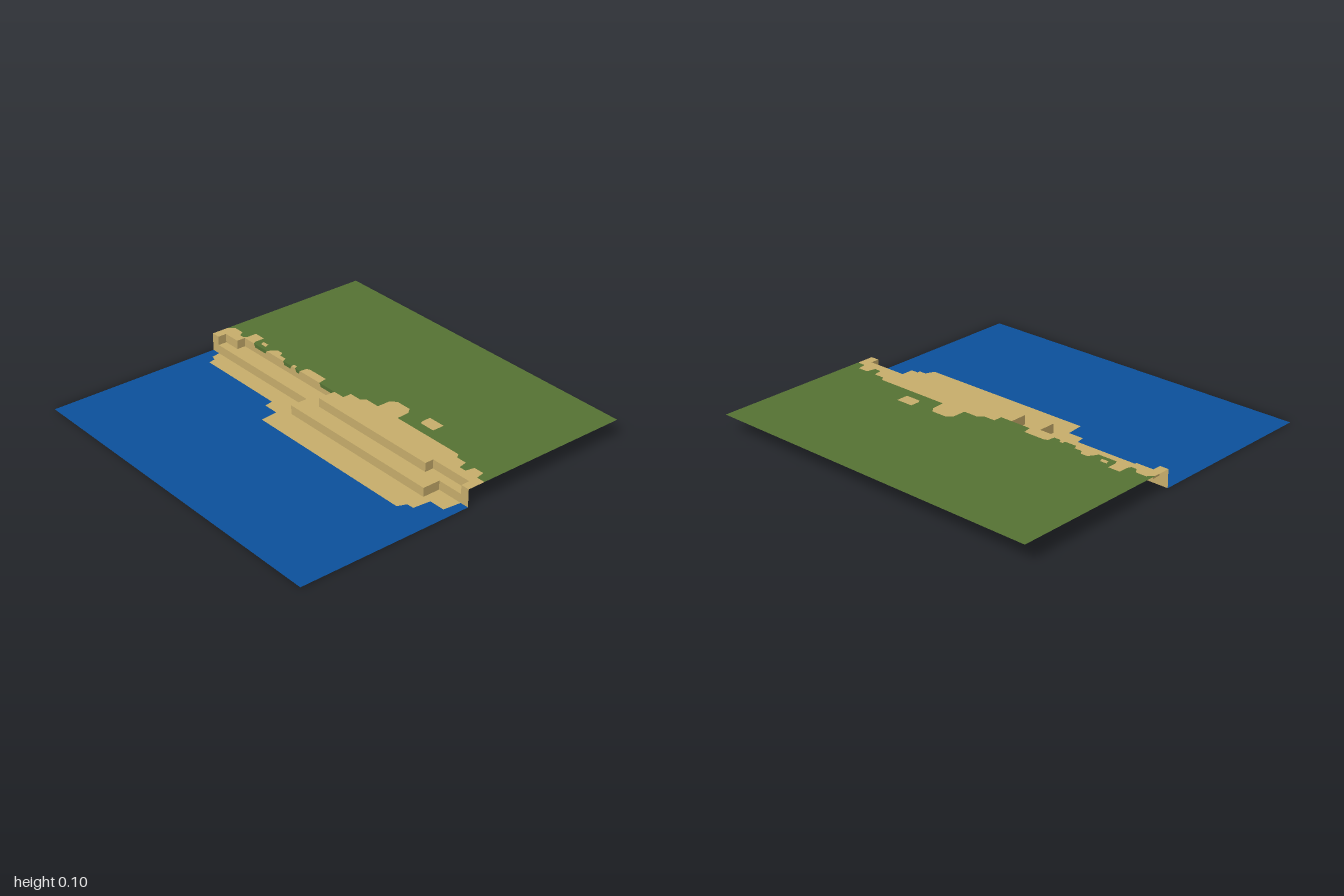
import * as THREE from 'three';

const LOW = 0, MID = 0.05, HIGH = 0.1, LIP = 0.08;

export function createModel() {
  const model = new THREE.Group();
  model.name = 'coastTerrain';
  const material = (name, color) => {
    const m = new THREE.MeshStandardMaterial({ color, side: THREE.DoubleSide });
    m.name = name;
    return m;
  };
  const grass = material('grass', 0x567334);
  const sand = material('sand', 0xc9af6c);
  const water = material('water', 0x0c519d);

  const add = (name, geometry, mat) => {
    const mesh = new THREE.Mesh(geometry, mat);
    mesh.name = name;
    model.add(mesh);
  };
  const vectors = (points) => points.map(([x, y]) => new THREE.Vector2(x, y));
  // Horizontal sheet from [x, z] points at height y
  const sheet = (name, y, points, mat, holes = []) => {
    const flip = (list) => vectors(list.map(([x, z]) => [x, -z]));
    const shape = new THREE.Shape(flip(points));
    shape.holes = holes.map((h) => new THREE.Path(flip(h)));
    add(name, new THREE.ShapeGeometry(shape).rotateX(-Math.PI / 2).translate(0, y, 0), mat);
  };
  // Upright sheet facing +z from [x, y] points
  const upright = (name, z, points, mat) =>
    add(name, new THREE.ShapeGeometry(new THREE.Shape(vectors(points))).translate(0, 0, z), mat);
  // Vertical walls along a path of [x, z] points
  const walls = (name, path, bottom, top) => {
    for (let i = 0; i < path.length - 1; i++) {
      const [x0, z0] = path[i], [x1, z1] = path[i + 1];
      const geometry = new THREE.PlaneGeometry(Math.hypot(x1 - x0, z1 - z0), top - bottom);
      geometry.rotateY(-Math.atan2(z1 - z0, x1 - x0));
      geometry.translate((x0 + x1) / 2, (bottom + top) / 2, (z0 + z1) / 2);
      add(name, geometry, sand);
    }
  };

  // Terrace edges, left to right across the front
  const upperWest = [[-1, 0], [-0.95, 0], [-0.95, -0.05], [-0.85, -0.05], [-0.85, -0.1]];
  const upperEast = [[-0.1, -0.1], [-0.1, 0], [0.7, 0], [0.7, -0.05], [0.95, -0.05], [0.95, 0], [1, 0]];
  const lowerEdge = [[-1, 0], [-0.2, 0], [-0.2, 0.1], [0.8, 0.1], [0.8, 0], [1, 0]];

  // Runs of the ragged edge between grass and sand; gaps between runs lie on the cliff
  const runs = [
    [[-1, -0.1], [-0.97, -0.13], [-0.91, -0.13], [-0.89, -0.1], [-0.86, -0.1], [-0.85, -0.12],
      [-0.85, -0.175], [-0.78, -0.175], [-0.78, -0.12], [-0.77, -0.1]],
    [[-0.66, -0.1], [-0.65, -0.12], [-0.63, -0.15], [-0.59, -0.15], [-0.575, -0.125], [-0.53, -0.125], [-0.52, -0.1]],
    [[-0.45, -0.1], [-0.45, -0.12], [-0.43, -0.12], [-0.42, -0.1]],
    [[-0.38, -0.1], [-0.375, -0.14], [-0.36, -0.15], [-0.23, -0.15], [-0.22, -0.1]],
    [[-0.1, -0.1], [-0.03, -0.1], [-0.03, -0.15], [0.04, -0.15], [0.06, -0.175], [0.15, -0.175],
      [0.15, -0.25], [0.18, -0.28], [0.27, -0.28], [0.295, -0.25], [0.3, -0.175], [0.74, -0.175],
      [0.76, -0.15], [0.82, -0.15], [0.83, -0.1], [0.87, -0.1], [0.88, -0.15], [0.94, -0.15],
      [0.95, -0.1], [1, -0.1]],
  ];
  const patches = [
    [[-0.75, -0.15], [-0.71, -0.15], [-0.7, -0.125], [-0.74, -0.125]],
    [[0.4, -0.3], [0.5, -0.3], [0.5, -0.23], [0.41, -0.23], [0.4, -0.25]],
  ];

  // Upper ground: grass, sandy fringe and bare patches
  sheet('grassField', HIGH, [[-1, -1], ...runs.flat(), [1, -1]], grass, patches);
  patches.forEach((p) => sheet('sandPatch', HIGH, p, sand));
  runs.forEach((run, i) => {
    const front = i === 0 ? [...upperWest].reverse() : i === runs.length - 1 ? [...upperEast].reverse() : [];
    sheet('upperSand', HIGH, [...run, ...front.filter(([, z]) => z > -0.1)
      .concat(i === 0 ? [] : [])].flatMap((p, k) =>
      i === 0 && k === run.length ? [[-0.85, -0.1], p] : [p]), sand);
  });

  // Middle terrace between the two cliff edges
  sheet('middleTerraceWest', MID, [...upperWest.slice(1), [-0.1, -0.1], [-0.1, 0]], sand);
  sheet('middleTerraceEast', MID, [[-0.2, 0], [0.7, 0], [0.8, 0], [0.8, 0.1], [-0.2, 0.1]], sand);
  sheet('middleTerraceNook', MID, [[0.7, -0.05], [0.95, -0.05], [0.95, 0], [0.7, 0]], sand);

  // Cliff walls
  walls('upperCliff', upperWest, MID, HIGH);
  walls('upperCliff', upperEast, MID, HIGH);
  walls('lowerCliff', lowerEdge, LOW, MID);

  // Back cliff with grass hanging over its top edge
  const notches = [];
  for (let i = 0; i < runs.length - 1; i++) {
    const a = runs[i].at(-1)[0], b = runs[i + 1][0][0];
    // The last lip runs straight into the corner
    const notch = [[a, HIGH], [a + 0.01, LIP], [i === 3 ? b : b - 0.01, LIP], [b, HIGH]];
    notches.push(...notch);
    upright('grassLip', -0.1, notch, grass);
  }
  upright('backCliff', -0.1, [[-0.85, MID], [-0.85, HIGH], ...notches.slice(0, -1), [-0.1, MID]], sand);

  // Beach and water at the lowest level
  const shore = [[-1, 0], [-0.95, 0], [-0.94, 0.05], [-0.91, 0.06], [-0.9, 0.1], [-0.36, 0.1],
    [-0.35, 0.15], [-0.26, 0.15], [-0.25, 0.25], [0.78, 0.25], [0.8, 0.2], [0.84, 0.2],
    [0.85, 0.1], [0.94, 0.1], [0.95, 0], [1, 0]];
  sheet('water', LOW, [...shore, [1, 1], [-1, 1]], water);
  sheet('beach', LOW, [...shore.slice(1, -1), [0.8, 0], [0.8, 0.1], [-0.2, 0.1], [-0.2, 0]], sand);

  return model;
}
